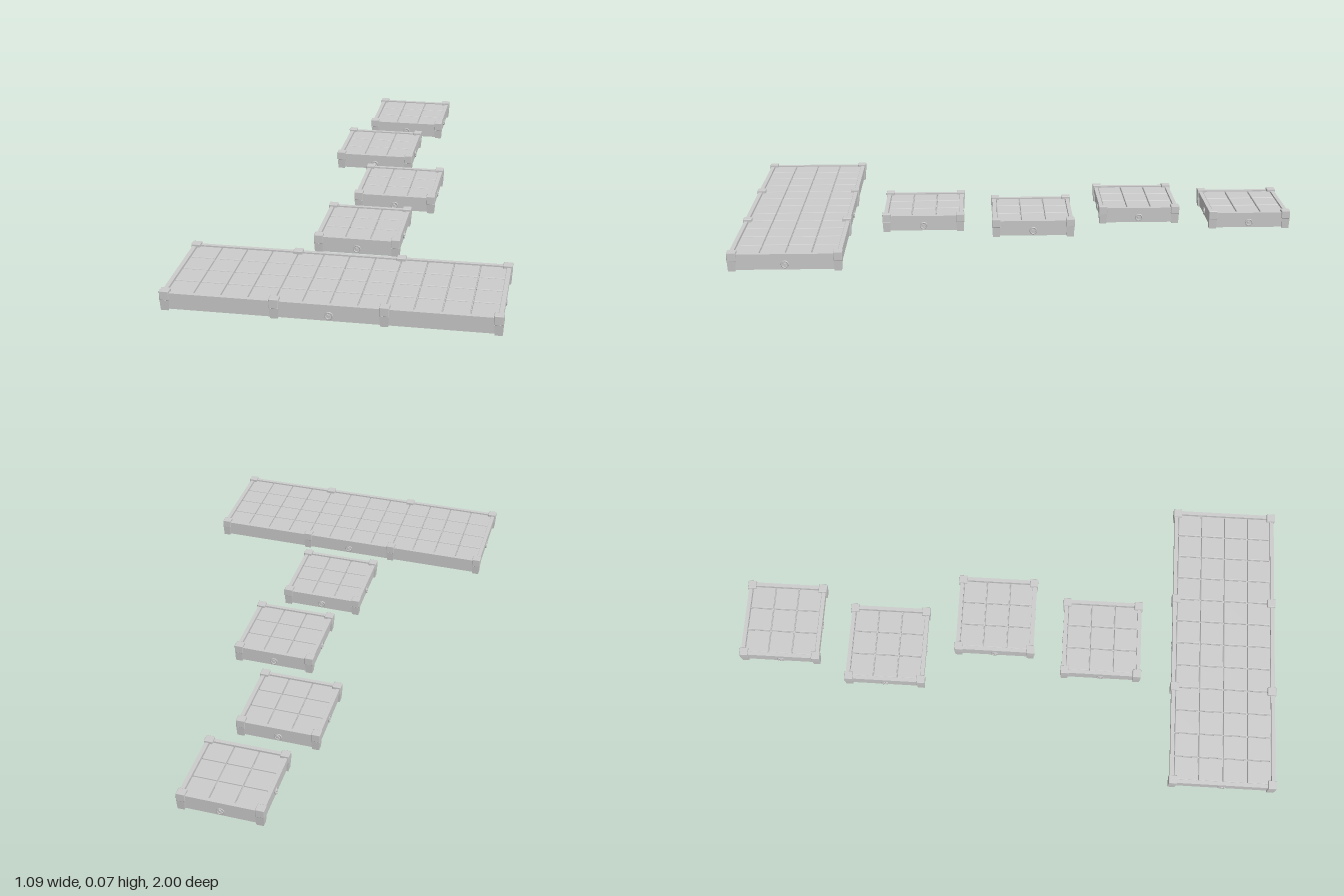
import * as THREE from 'three';
import { RoundedBoxGeometry } from 'three/addons/geometries/RoundedBoxGeometry.js';

const stone = new THREE.MeshStandardMaterial({ color: 0xcccccc });
stone.name = 'light grey stone';

function add(parent, name, geometry, x, y, z) {
  const mesh = new THREE.Mesh(geometry, stone);
  mesh.name = name;
  mesh.position.set(x, y, z);
  parent.add(mesh);
  return mesh;
}

const box = (w, h, d) => new THREE.BoxGeometry(w, h, d);

// Box whose underside is narrower than its top
function taperedBox(w, h, d, inset) {
  const g = box(w, h, d);
  const p = g.attributes.position;
  for (let i = 0; i < p.count; i++) {
    if (p.getY(i) < 0) {
      p.setX(i, p.getX(i) - Math.sign(p.getX(i)) * inset);
      p.setZ(i, p.getZ(i) - Math.sign(p.getZ(i)) * inset);
    }
  }
  g.computeVertexNormals();
  return g;
}

// Round boss facing +z: ring, hub and four spokes
function makeBoss() {
  const boss = new THREE.Group();
  boss.name = 'sideBoss';
  add(boss, 'bossRing', new THREE.TorusGeometry(0.0115, 0.0025, 6, 20), 0, 0, 0.001);
  const hub = add(boss, 'bossHub', new THREE.CylinderGeometry(0.004, 0.004, 0.008, 10), 0, 0, 0);
  hub.rotation.x = Math.PI / 2;
  for (let i = 0; i < 2; i++) {
    const spoke = add(boss, 'bossSpoke', box(0.022, 0.0025, 0.004), 0, 0, 0);
    spoke.rotation.z = Math.PI / 4 + i * Math.PI / 2;
  }
  return boss;
}

// Paved slab with raised rim, posts and a boss on each side
function makePlatform(name, width, depth, cols, rows, postXs) {
  const g = new THREE.Group();
  g.name = name;
  const hw = width / 2, hd = depth / 2;
  const wall = 0.009, rim = 0.004, rimWidth = 0.014;

  add(g, 'base', box(width - 2 * wall, 0.046, depth - 2 * wall), 0, 0.026, 0);

  // Rim rails around the top
  for (const s of [-1, 1]) {
    add(g, 'rimLong', box(width - 2 * rim, 0.02, rimWidth), 0, 0.05, s * (hd - rim - rimWidth / 2));
    add(g, 'rimShort', box(rimWidth, 0.02, depth - 2 * rim - 2 * rimWidth), s * (hw - rim - rimWidth / 2), 0.05, 0);
  }

  // Paving tiles with narrow joints
  const tw = (width - 2 * (rim + rimWidth)) / cols;
  const td = (depth - 2 * (rim + rimWidth)) / rows;
  const tile = new RoundedBoxGeometry(tw - 0.003, 0.014, td - 0.003, 1, 0.003);
  for (let i = 0; i < cols; i++) {
    for (let j = 0; j < rows; j++) {
      add(g, 'tile', tile, (i - (cols - 1) / 2) * tw, 0.05, (j - (rows - 1) / 2) * td);
    }
  }

  // Posts: block cap over a tapered foot
  const cap = new RoundedBoxGeometry(0.031, 0.031, 0.031, 1, 0.002);
  const foot = taperedBox(0.029, 0.036, 0.029, 0.002);
  for (const x of postXs) {
    for (const s of [-1, 1]) {
      const z = s * (hd - 0.0155);
      add(g, 'postCap', cap, x, 0.0515, z);
      add(g, 'postFoot', foot, x, 0.018, z);
    }
  }

  // Bosses centred on the four walls
  for (let i = 0; i < 4; i++) {
    const a = i * Math.PI / 2;
    const reach = (i % 2 ? hw : hd) - wall + 0.002;
    const boss = makeBoss();
    boss.position.set(Math.sin(a) * reach, 0.022, Math.cos(a) * reach);
    boss.rotation.y = a;
    g.add(boss);
  }
  return g;
}

export function createModel() {
  const model = new THREE.Group();
  model.name = 'steppingPlatforms';

  // Wide landing at the front
  const landing = makePlatform('landing', 1.09, 0.39, 12, 4, [-0.5295, -0.175, 0.175, 0.5295]);
  landing.position.z = 0.805;
  model.add(landing);

  // Staggered square steps
  [[0, 0.35], [0.07, -0.05], [-0.07, -0.45], [0, -0.85]].forEach(([x, z], i) => {
    const step = makePlatform('step' + (i + 1), 0.3, 0.3, 3, 3, [-0.1345, 0.1345]);
    step.position.set(x, 0, z);
    model.add(step);
  });
  return model;
}
